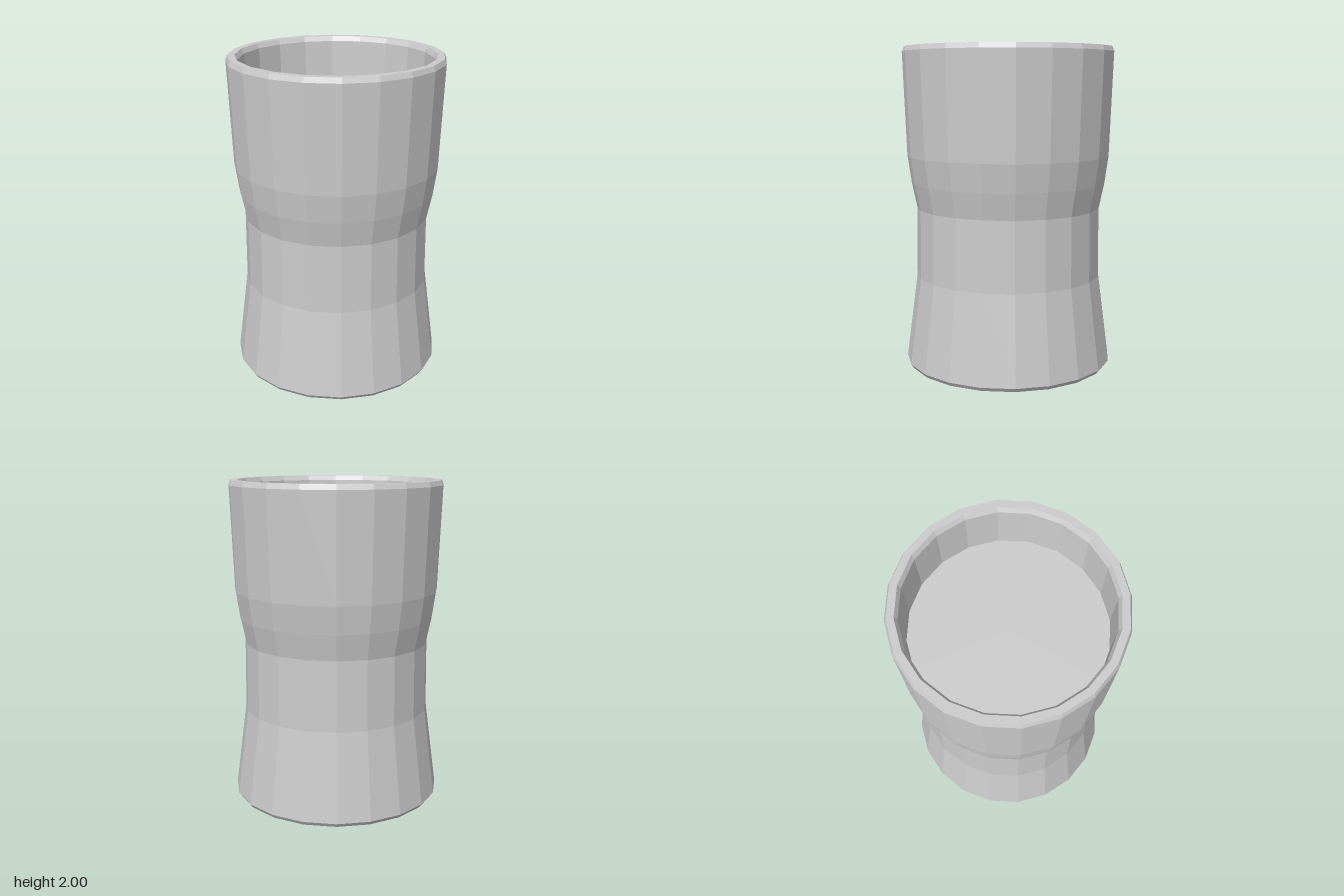
import * as THREE from 'three';

const SIDES = 20;

// Revolves [radius, height] pairs listed from the bottom outside to the inside
function turned(name, profile, material) {
  const points = profile.map(([r, y]) => new THREE.Vector2(r, y));
  const mesh = new THREE.Mesh(new THREE.LatheGeometry(points, SIDES), material);
  mesh.name = name;
  return mesh;
}

export function createModel() {
  const group = new THREE.Group();
  group.name = 'cup';
  const material = new THREE.MeshStandardMaterial({ color: 0xcccccc, flatShading: true });

  // Closed base, waisted wall, bevelled rim and the inner wall
  group.add(turned('cupBody', [
    [0, 0], [0.64, 0], [0.657, 0.025],
    [0.585, 0.57], [0.58, 1.0],
    [0.613, 1.16], [0.637, 1.33],
    [0.66, 1.97], [0.648, 2],
    [0.605, 2], [0.588, 1.97], [0.575, 1.68],
  ], material));

  // Flat surface inside the cup, below the rim
  group.add(turned('innerSurface', [[0.575, 1.68], [0, 1.68]], material));

  return group;
}
